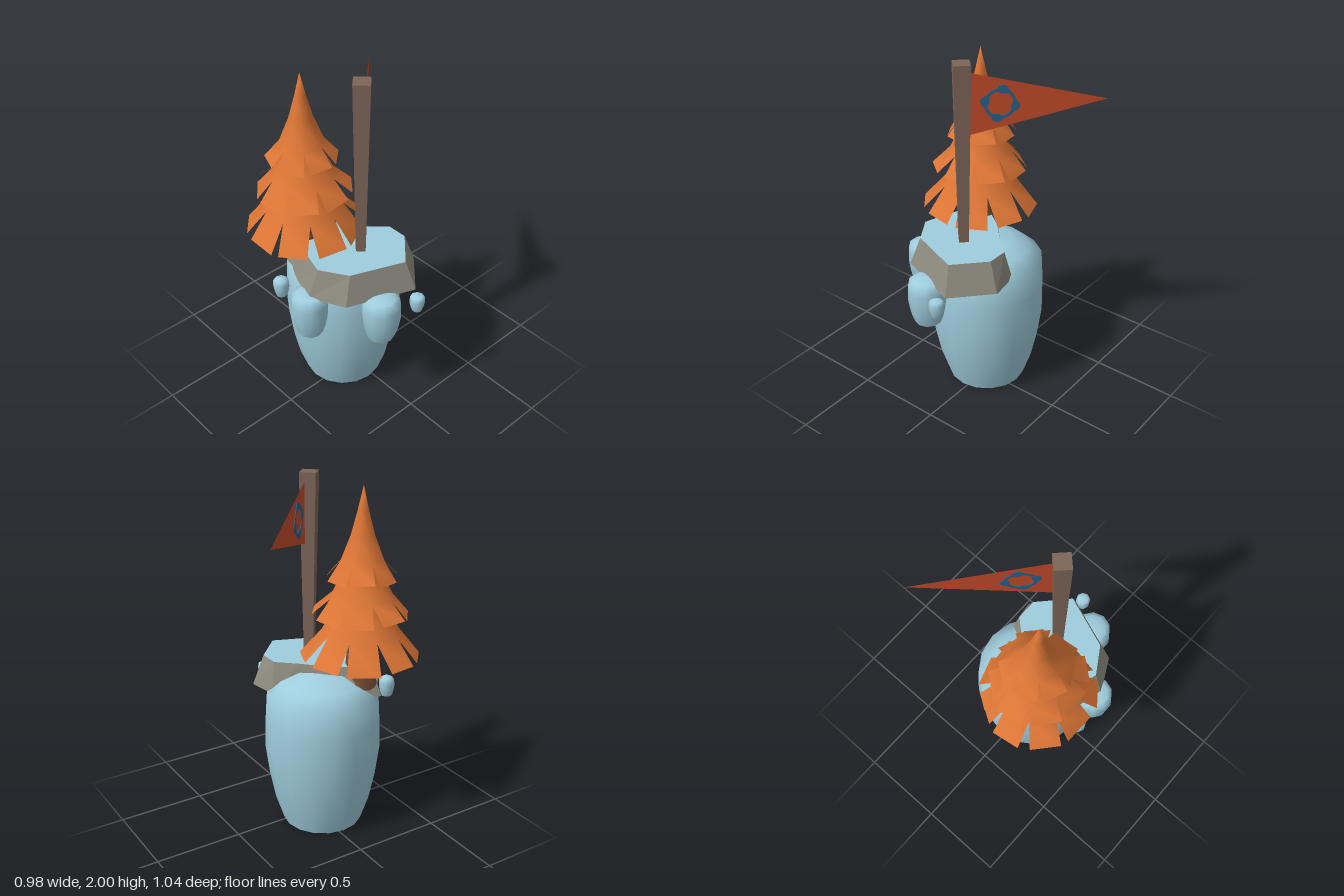
import * as THREE from 'three';
import { mergeVertices } from 'three/addons/utils/BufferGeometryUtils.js';

const mat = (name, color, extra = {}) =>
  Object.assign(new THREE.MeshStandardMaterial({ color, ...extra }), { name });
const both = { side: THREE.DoubleSide };

function fromTriangles(tris) {
  const g = new THREE.BufferGeometry();
  g.setAttribute('position', new THREE.Float32BufferAttribute(tris.flat(2), 3));
  return g;
}

function add(parent, name, geometry, material) {
  const m = new THREE.Mesh(geometry, material);
  m.name = name;
  parent.add(m);
  return m;
}

// Skirt of foliage whose lower edge is cut into flaps; profile is [radius, y] from top to rim
function tierGeometry(profile, flaps, turn, seed) {
  const tris = [];
  const last = profile.length - 1;
  const step = (Math.PI * 2) / flaps;
  for (let i = 0; i < flaps; i++) {
    const wob = Math.sin((i + 1) * seed * 12.9);
    const point = (k, side) => {
      const [r, y] = profile[k];
      const cut = k === last ? 0.085 + 0.03 * wob : 0;
      const a = turn + step * (i + side) + (side ? -cut : cut);
      const rr = k === last ? r * (1 + 0.03 * wob) : r;
      const yy = k === last ? y + 0.012 * wob : y;
      return [Math.sin(a) * rr, yy, Math.cos(a) * rr];
    };
    for (let k = 0; k < last; k++) {
      const a = point(k, 0), b = point(k, 1), c = point(k + 1, 0), d = point(k + 1, 1);
      if (profile[k][0] > 0) tris.push([a, d, b]);
      tris.push([a, c, d]);
    }
  }
  const g = mergeVertices(fromTriangles(tris), 1e-4);
  g.computeVertexNormals();
  return g;
}

export function createModel() {
  const ice = mat('pale blue', 0x9fcddd);
  const stone = mat('stone grey', 0x8f8d80);
  const wood = mat('pole brown', 0x7d6558);
  const bark = mat('bark brown', 0x7c5238);
  const foliage = mat('autumn orange', 0xdc7535, both);
  const cloth = mat('flag red', 0xc24a2a, both);
  const blue = mat('emblem blue', 0x29608a);

  const model = new THREE.Group();
  model.name = 'floatingIslet';

  // Rounded columns: one large, with small copies hung round it
  function column(name, x, z, base, radius, height, dome, sides) {
    const g = new THREE.Group();
    g.name = name;
    const pts = [[0.69, 0], [0.83, 0.175], [0.93, 0.38], [1, 0.6], [0.99, 0.8], [0.96, 1]]
      .map(([r, y]) => new THREE.Vector2(r * radius, y * height));
    for (const [r, y] of [[0.72, 0.52], [0.42, 0.9], [0, 1]])
      pts.push(new THREE.Vector2(r * radius, height + y * dome));
    add(g, name + 'Body', new THREE.LatheGeometry(pts, sides), ice);
    const bottom = new THREE.CircleGeometry(0.69 * radius, sides).rotateX(Math.PI / 2);
    add(g, name + 'Bottom', bottom, ice);
    g.position.set(x, base, z);
    model.add(g);
  }
  column('mainColumn', -0.03, -0.06, 0, 0.33, 0.8, 0.135, 16);
  column('leftPod', -0.385, 0.065, 0.54, 0.103, 0.255, 0.02, 10);
  column('frontPod', -0.12, 0.355, 0.54, 0.11, 0.255, 0.03, 10);
  column('smallFrontPod', 0.043, 0.466, 0.7, 0.042, 0.09, 0.01, 8);
  column('smallBackPod', -0.425, -0.13, 0.7, 0.045, 0.1, 0.02, 8);

  // Faceted rock ledge with a pale top: [bottom x, bottom z, top x, top z]
  const ledge = [
    [-0.41, 0.09, -0.35, 0.1], [-0.31, 0.28, -0.255, 0.25], [0.07, 0.425, 0.045, 0.365],
    [0.26, 0.22, 0.2, 0.2], [0.235, 0.05, 0.2, 0.08], [0.1, -0.05, 0.09, -0.02],
    [0.02, -0.15, 0, -0.12], [-0.12, -0.31, -0.13, -0.22], [-0.26, -0.3, -0.25, -0.21],
    [-0.36, -0.06, -0.31, -0.04],
  ];
  const sideTris = [], topTris = [];
  ledge.forEach((p, i) => {
    const q = ledge[(i + 1) % ledge.length];
    const b0 = [p[0], 0.8, p[1]], b1 = [q[0], 0.8, q[1]];
    const t0 = [p[2], 0.972, p[3]], t1 = [q[2], 0.972, q[3]];
    sideTris.push([b0, b1, t1], [b0, t1, t0], [b1, b0, [-0.08, 0.8, 0.05]]);
    topTris.push([t0, t1, [-0.08, 0.972, 0.05]]);
  });
  const ledgeSides = fromTriangles(sideTris);
  const ledgeTop = fromTriangles(topTris);
  ledgeSides.computeVertexNormals();
  ledgeTop.computeVertexNormals();
  add(model, 'rockLedge', ledgeSides, stone);
  add(model, 'ledgeTop', ledgeTop, ice);

  // Tree: trunk and three overlapping skirts
  const tree = new THREE.Group();
  tree.name = 'tree';
  tree.position.set(-0.185, 0, -0.2);
  model.add(tree);
  const trunk = add(tree, 'trunk', new THREE.CylinderGeometry(0.06, 0.095, 0.36, 8), bark);
  trunk.position.y = 1.03;
  const tiers = [
    [[[0.08, 1.42], [0.15, 1.29], [0.215, 1.17], [0.325, 1.03]], 9, 0.15, 1.3],
    [[[0.07, 1.62], [0.12, 1.48], [0.175, 1.37], [0.265, 1.27]], 8, 0.5, 2.1],
    [[[0, 1.97], [0.03, 1.84], [0.065, 1.71], [0.12, 1.57], [0.195, 1.475]], 7, 0.3, 0.7],
  ];
  tiers.forEach((t, i) => add(tree, 'foliageTier' + (i + 1), tierGeometry(...t), foliage));

  // Square pole, wider at the top
  const pole = new THREE.CylinderGeometry(0.064, 0.037, 1.05, 4).toNonIndexed();
  pole.computeVertexNormals();
  add(model, 'pole', pole, wood).position.set(-0.054, 1.475, 0.117);

  // Pennant set diagonally, with a knobbed ring showing on both faces
  const flag = new THREE.Group();
  flag.name = 'flag';
  flag.position.set(-0.015, 1.78, 0.1);
  flag.rotation.y = Math.PI / 4;
  model.add(flag);
  const pennant = new THREE.Shape([
    new THREE.Vector2(0, -0.168), new THREE.Vector2(0.715, 0), new THREE.Vector2(0, 0.172),
  ]);
  add(flag, 'pennant', new THREE.ShapeGeometry(pennant), cloth);

  const outline = (base, knob) => Array.from({ length: 48 }, (_, i) => {
    const a = (i / 48) * Math.PI * 2;
    const r = base + knob * Math.max(0, Math.cos(4 * (a + 0.2)));
    return new THREE.Vector2(Math.cos(a) * r, Math.sin(a) * r);
  });
  const ring = new THREE.Shape(outline(0.084, 0.02));
  ring.holes.push(new THREE.Path(outline(0.068, -0.012)));
  const ringGeo = new THREE.ExtrudeGeometry(ring, { depth: 0.008, bevelEnabled: false });
  add(flag, 'flagRing', ringGeo, blue).position.set(0.155, 0, -0.004);

  return model;
}
